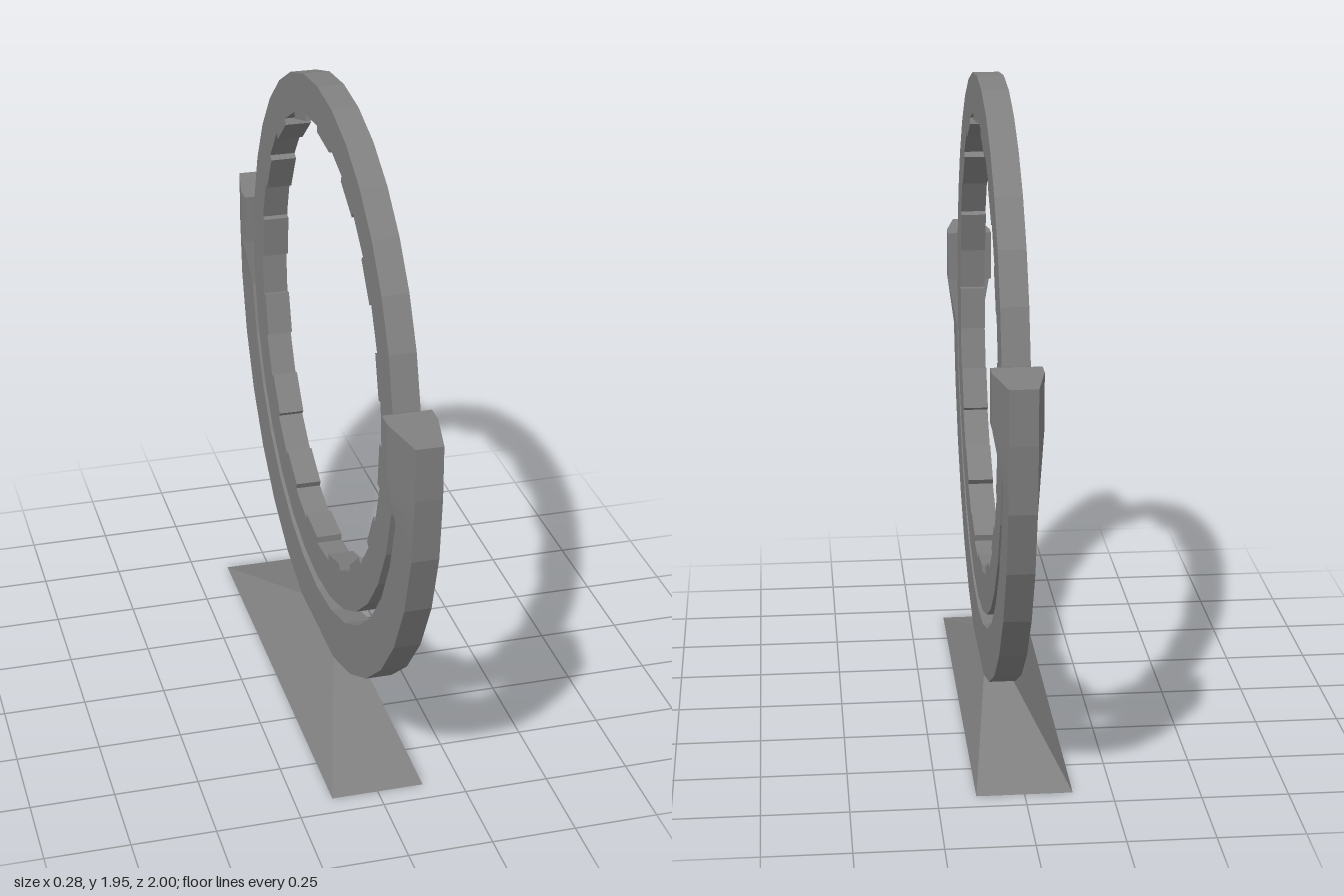
import * as THREE from 'three';

const CY = 1.145;    // height of the ring centre
const CX = 0.036;    // middle plane of the ring and cradle
const HALF = 0.039;  // half thickness
const FLARE = 0.07;  // half thickness at the clamps
const STEP = Math.PI / 16;

const material = new THREE.MeshStandardMaterial({ color: 0x808080 });

function part(name, geometry) {
  const mesh = new THREE.Mesh(geometry, material);
  mesh.name = name;
  return mesh;
}

// Solid, faceted skin through a row of four-cornered sections, closed at both ends
function loft(sections) {
  const index = [];
  const last = (sections.length - 1) * 4;
  for (let i = 0; i < last; i += 4) {
    for (let j = 0; j < 4; j++) {
      const a = i + j, b = i + (j + 1) % 4;
      index.push(a, b, b + 4, a, b + 4, a + 4);
    }
  }
  index.push(0, 2, 1, 0, 3, 2, last, last + 1, last + 2, last, last + 2, last + 3);
  const geometry = new THREE.BufferGeometry();
  geometry.setAttribute('position', new THREE.Float32BufferAttribute(sections.flat(2), 3));
  geometry.setIndex(index);
  const flat = geometry.toNonIndexed();
  flat.computeVertexNormals();
  return flat;
}

// 32-sided ring whose inner edge steps in on every other segment
function ringGeometry() {
  const at = (r, k) => new THREE.Vector2(-r * Math.sin(k * STEP), r * Math.cos(k * STEP));
  const outer = [], inner = [];
  for (let k = 0; k < 32; k++) {
    outer.push(at(0.803, k));
    const r = k % 2 ? 0.685 : 0.665;
    inner.push(at(r, k), at(r, k + 1));
  }
  const shape = new THREE.Shape(outer);
  shape.holes.push(new THREE.Path(inner));
  return new THREE.ExtrudeGeometry(shape, { depth: HALF * 2, bevelEnabled: false })
    .rotateY(Math.PI / 2)
    .translate(CX - HALF, CY, 0);
}

// Half-round cradle, its inner edge flaring out to meet the clamps
function cradleGeometry() {
  const sections = [];
  for (let k = 0; k <= 16; k++) {
    const c = Math.cos(k * STEP), s = Math.sin(k * STEP);
    const w = k % 16 === 0 ? FLARE : HALF;
    const corner = (r, x) => [CX + x, CY - r * s, r * c];
    sections.push([corner(1, HALF), corner(1, -HALF), corner(0.845, -w), corner(0.845, w)]);
  }
  const geometry = loft(sections);
  // Shade the two broad sides smoothly, blending into the clamp taper
  const { position, normal } = geometry.attributes;
  const n = new THREE.Vector3();
  for (let i = 0; i < normal.count; i++) {
    const side = normal.getX(i);
    if (Math.abs(side) < 0.7) continue;
    const tilt = position.getY(i) > CY - 0.01 ? 0.2 * Math.sign(position.getZ(i)) : 0;
    n.set(Math.sign(side), 0, tilt).normalize();
    normal.setXYZ(i, n.x, n.y, n.z);
  }
  return geometry;
}

// Tapered block that grips the ring; side is +1 for front, -1 for back
function clampGeometry(side) {
  const profile = [[HALF, 1], [FLARE, 0.845], [FLARE, 0.79], [-FLARE, 0.79], [-FLARE, 0.845], [-HALF, 1]];
  const shape = new THREE.Shape(profile.map(([x, z]) => new THREE.Vector2(CX + x, -side * z)));
  return new THREE.ExtrudeGeometry(shape, { depth: 0.155, bevelEnabled: false })
    .rotateX(-Math.PI / 2)
    .translate(0, CY, 0);
}

// Sloped foot, wide on the ground and narrow under the cradle
function baseGeometry() {
  const rect = (x0, x1, y, z) => [[x1, y, z], [x1, y, -z], [x0, y, -z], [x0, y, z]];
  return loft([rect(-0.138, 0.138, 0, 0.683), rect(CX - HALF, CX + HALF, 0.164, 0.195)]);
}

export function createModel() {
  const model = new THREE.Group();
  model.name = 'ringOnStand';
  model.add(
    part('ring', ringGeometry()),
    part('cradle', cradleGeometry()),
    part('frontClamp', clampGeometry(1)),
    part('backClamp', clampGeometry(-1)),
    part('base', baseGeometry())
  );
  return model;
}
